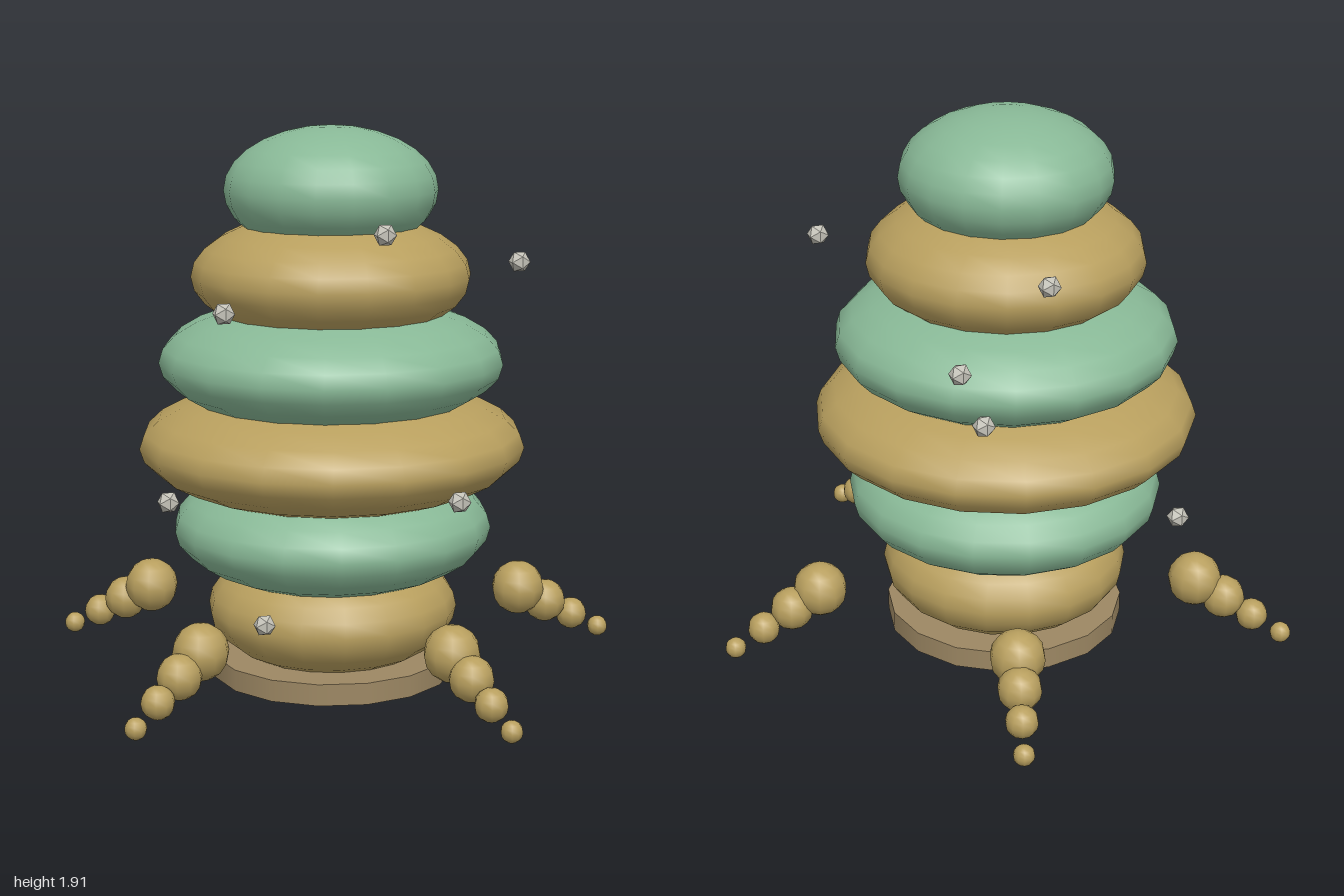
import * as THREE from 'three';

export function createModel() {
  const model = new THREE.Group();
  model.name = 'layeredHive';

  const material = (name, color, flatShading = false) => {
    const m = new THREE.MeshStandardMaterial({ color, flatShading });
    m.name = name;
    return m;
  };
  const green = material('sage green', 0x88b896);
  const tan = material('honey tan', 0xb89f5e);
  const wood = material('dull brown', 0x9c8763);
  const grey = material('pale grey', 0xc4c2b8, true);

  const add = (parent, name, geometry, mat, x, y, z) => {
    const mesh = new THREE.Mesh(geometry, mat);
    mesh.name = name;
    mesh.position.set(x, y, z);
    parent.add(mesh);
    return mesh;
  };

  // Everything but the floating studs is arranged around this axis
  const body = new THREE.Group();
  body.name = 'body';
  body.position.x = -0.1;
  model.add(body);

  // Base disc
  add(body, 'base', new THREE.CylinderGeometry(0.425, 0.425, 0.075, 16), wood, 0, 0.0375, 0);

  // Stacked flattened spheres, alternating colours
  const layerRadii = [0.437, 0.555, 0.67, 0.597, 0.482, 0.367];
  layerRadii.forEach((r, i) => {
    const layer = add(body, `layer${i + 1}`, new THREE.SphereGeometry(1, 18, 14),
      i % 2 ? green : tan, 0, 0.235 + i * 0.292, 0);
    layer.scale.set(r, 0.22, r);
    layer.rotation.y = i * 0.3;
  });

  // Five legs of shrinking beads
  for (let i = 0; i < 5; i++) {
    const leg = new THREE.Group();
    leg.name = `leg${i + 1}`;
    leg.rotation.y = (i * Math.PI * 2) / 5;
    for (let j = 0; j < 4; j++) {
      add(leg, `bead${j + 1}`, new THREE.SphereGeometry(0.096 - j * 0.0197, 10, 8), tan,
        0.7 + j * 0.105, 0.235 - j * 0.058, 0);
    }
    body.add(leg);
  }

  // Small faceted studs floating around the body
  const studs = [
    [-0.085, 1.603, 0.567], [0.485, 1.46, 0.267], [-0.59, 1.36, 0.475],
    [-0.745, 0.72, 0.31], [0.132, 0.747, 0.683], [-0.45, 0.305, 0.41],
    [-0.005, 1.53, -0.607], [0.235, 1.11, -0.658], [0.29, 1.27, -0.592],
    [-0.52, 0.58, -0.545],
  ];
  const studGeometry = new THREE.IcosahedronGeometry(0.038, 0);
  studs.forEach((p, i) => add(model, `stud${i + 1}`, studGeometry, grey, ...p));

  return model;
}
